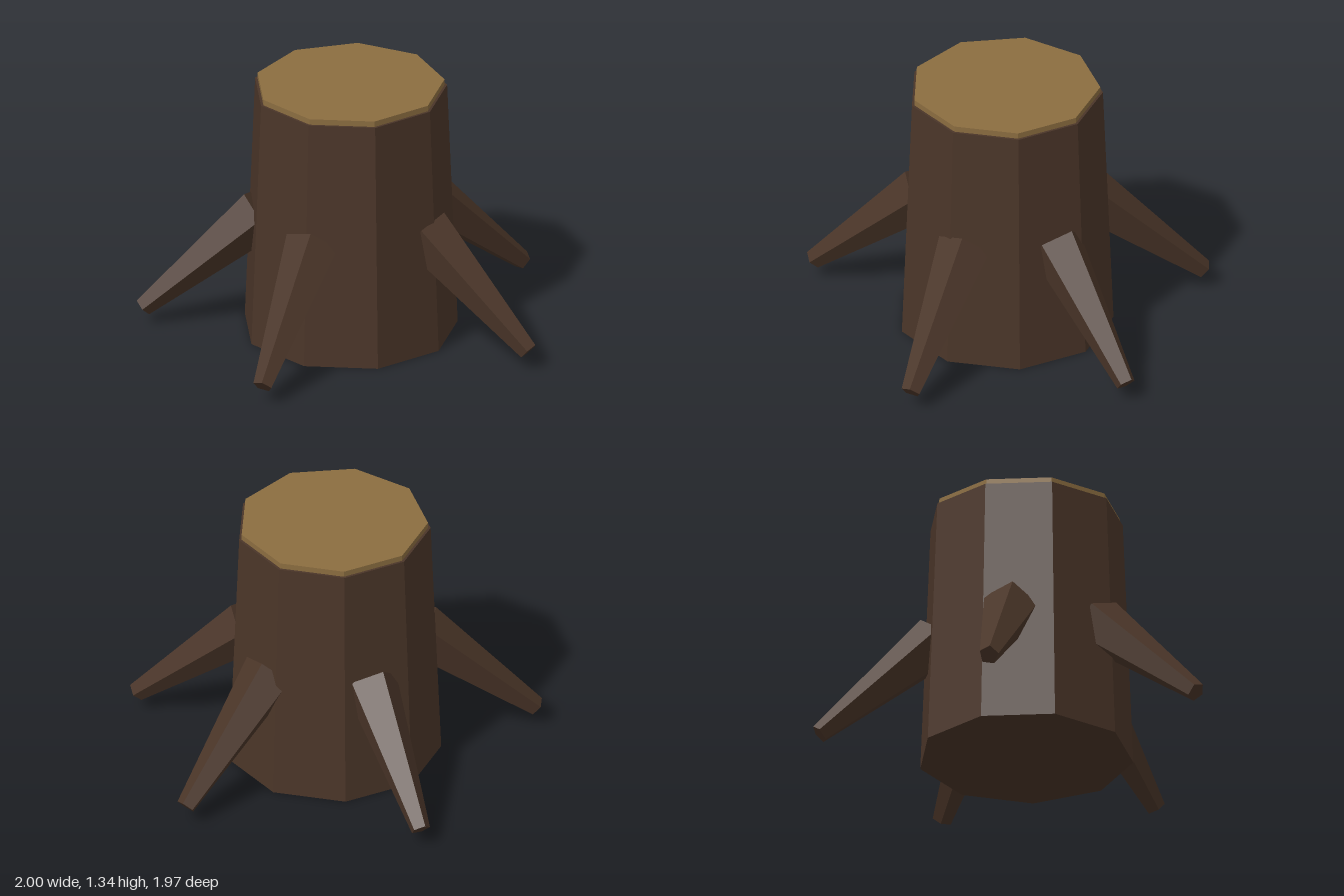
import * as THREE from 'three';

export function createModel() {
  const model = new THREE.Group();
  model.name = 'treeStump';

  const bark = new THREE.MeshStandardMaterial({ color: 0x4a3528, flatShading: true });
  bark.name = 'bark';
  const cutWood = new THREE.MeshStandardMaterial({ color: 0x8b6d40, flatShading: true });
  cutWood.name = 'cutWood';

  const stump = new THREE.Group();
  stump.name = 'stump';
  stump.position.set(-0.07, 0, 0.015);
  model.add(stump);

  // Nine-sided slice standing on height y, with one corner at the back
  const addSlice = (name, rTop, rBottom, y, height, material) => {
    const geometry = new THREE.CylinderGeometry(rTop, rBottom, height, 9);
    geometry.rotateY(Math.PI);
    const mesh = new THREE.Mesh(geometry, material);
    mesh.name = name;
    mesh.position.y = y + height / 2;
    stump.add(mesh);
  };
  addSlice('trunk', 0.49, 0.543, 0, 1.305, bark);
  addSlice('cutTop', 0.477, 0.477, 1.305, 0.03, cutWood);

  // Tapered five-sided root, sloping outward and down along +x
  const rad = THREE.MathUtils.degToRad;
  const rootGeometry = new THREE.CylinderGeometry(0.05, 0.142, 0.8, 5);
  rootGeometry.rotateY(rad(42));
  rootGeometry.rotateZ(-rad(131.7));
  rootGeometry.translate(0.735, 0.36, 0);

  // Roots spread unevenly around the trunk
  [2, 65, 150, 216, 291.5].forEach((angle, i) => {
    const root = new THREE.Mesh(rootGeometry, bark);
    root.name = `root${i + 1}`;
    root.rotation.y = -rad(angle);
    stump.add(root);
  });

  return model;
}
